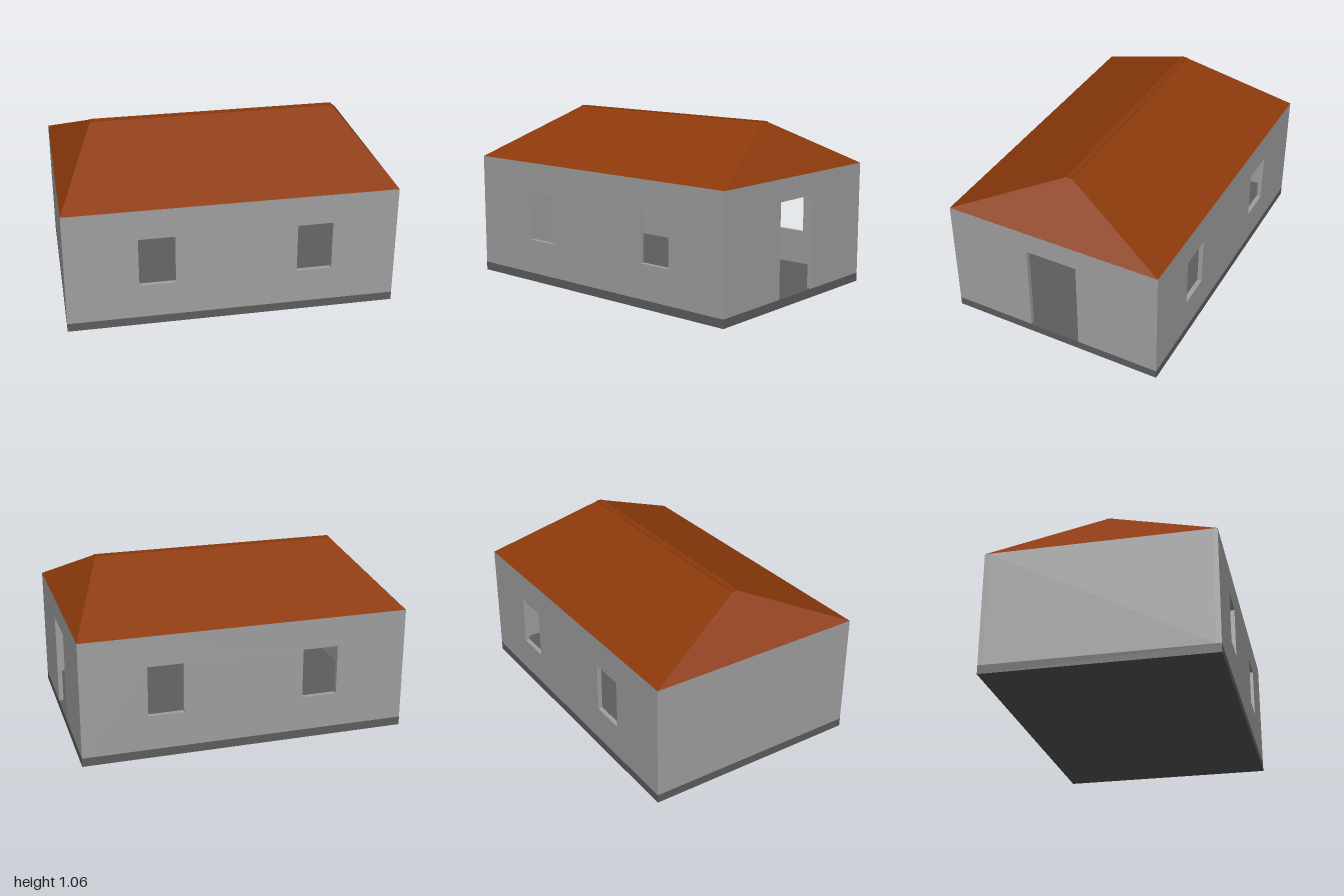
import * as THREE from 'three';

const W = 1, D = 0.682;         // half length and half depth
const BASE = 0.053, EAVE = 0.761, RIDGE = 1.055;
const T = 0.028;                // wall thickness
const DOOR_HALF = 0.163, DOOR_TOP = 0.627;

const plaster = new THREE.MeshStandardMaterial({ color: 0xa0a0a0 });
const stone = new THREE.MeshStandardMaterial({ color: 0x5d5d5d });
const tile = new THREE.MeshStandardMaterial({ color: 0x8d3a0b, flatShading: true });

// Closed outline (or hole) from a list of corners
function outline(Type, corners) {
  return new Type(corners.map(([x, y]) => new THREE.Vector2(x, y)));
}

function rect(x0, x1, y0, y1) {
  return [[x0, y0], [x1, y0], [x1, y1], [x0, y1]];
}

// Upright wall slab, centred on its own thickness
function wall(name, corners, openings = []) {
  const shape = outline(THREE.Shape, corners);
  shape.holes = openings.map((o) => outline(THREE.Path, o));
  const geo = new THREE.ExtrudeGeometry(shape, { depth: T, bevelEnabled: false });
  geo.translate(0, 0, -T / 2);
  const mesh = new THREE.Mesh(geo, plaster);
  mesh.name = name;
  return mesh;
}

function box(name, w, y0, y1, d, material) {
  const mesh = new THREE.Mesh(new THREE.BoxGeometry(w, y1 - y0, d), material);
  mesh.position.y = (y0 + y1) / 2;
  mesh.name = name;
  return mesh;
}

export function createModel() {
  const house = new THREE.Group();
  house.name = 'house';

  // Plinth, which is also the floor
  house.add(box('plinth', 2 * W, 0, BASE, 2 * D, stone));

  // Long walls with two windows each
  const windows = [rect(-0.565, -0.347, 0.268, 0.575), rect(0.388, 0.603, 0.268, 0.575)];
  for (const [name, side] of [['frontWall', 1], ['backWall', -1]]) {
    const w = wall(name, rect(-W, W, BASE, EAVE), windows);
    w.position.z = side * (D - T / 2);
    house.add(w);
  }

  // End walls, the left one with a doorway down to the floor
  const half = D - T;
  const plain = rect(-half, half, BASE, EAVE);
  const withDoor = [
    [-half, BASE], [-DOOR_HALF, BASE], [-DOOR_HALF, DOOR_TOP], [DOOR_HALF, DOOR_TOP],
    [DOOR_HALF, BASE], [half, BASE], [half, EAVE], [-half, EAVE],
  ];
  for (const [name, side, corners] of [['leftWall', 1, withDoor], ['rightWall', -1, plain]]) {
    const w = wall(name, corners);
    w.rotation.y = Math.PI / 2;
    w.position.x = side * (W - T / 2);
    house.add(w);
  }

  // Ceiling
  house.add(box('ceiling', 2 * (W - T), EAVE - 0.023, EAVE, 2 * (D - T), plaster));

  // Hipped roof: a box drawn in at the top
  const roof = box('roof', 2 * W, EAVE, RIDGE, 2 * D, tile);
  const pos = roof.geometry.attributes.position;
  for (let i = 0; i < pos.count; i++) {
    if (pos.getY(i) > 0) {
      pos.setX(i, Math.sign(pos.getX(i)) * 0.762);
      pos.setZ(i, Math.sign(pos.getZ(i)) * 0.02);
    }
  }
  roof.geometry.computeVertexNormals();
  house.add(roof);

  // Ridge cap
  house.add(box('ridgeCap', 1.524, RIDGE, RIDGE + 0.004, 0.04, tile));

  return house;
}
